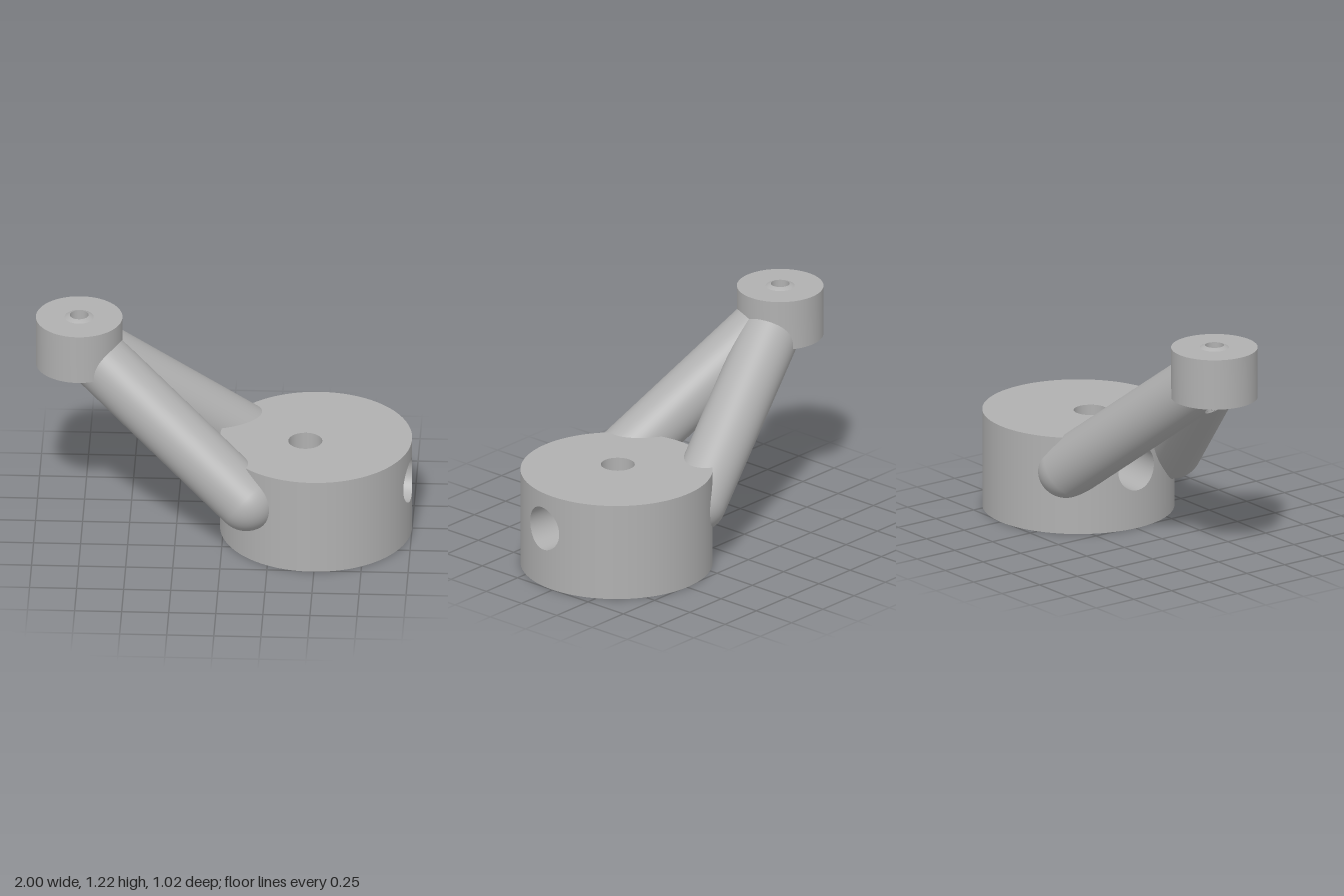
import * as THREE from 'three';
import { toCreasedNormals } from 'three/addons/utils/BufferGeometryUtils.js';
import { ParametricGeometry } from 'three/addons/geometries/ParametricGeometry.js';

const TAU = Math.PI * 2;
const { sin, cos, sqrt, abs, max, atan2, asin, acos, PI } = Math;

// Base drum, with a level cross bore and an upright bore that meet at A
const R = 0.51, H = 0.535, CX = 0.49;
const A = new THREE.Vector3(0.435, 0.33, 0.04);
const CROSS_R = 0.12, UP_R = 0.09, MID = 0.2;
const slant = Math.atan(0.065);
const D = new THREE.Vector3(cos(slant), 0, sin(slant)); // along the cross bore
const N = new THREE.Vector3(-sin(slant), 0, cos(slant)); // level, across it

// Head joint where the two legs meet
const J = new THREE.Vector3(-0.77, 1.07, -0.043);
const HEAD_R = 0.23, LEG_R = 0.16, PIN_R = 0.05;

const surface = (fn, nu, nv) => new ParametricGeometry((u, v, p) => p.copy(fn(u, v)), nu, nv);

// Patch running from a hole outline to a rectangle, bent by map(a, b)
function holedPatch(hole, ca, cb, ha, hb, map) {
  return surface((u, v) => {
    const t = u * TAU, m = max(abs(cos(t)), abs(sin(t)));
    const [a, b] = hole(t);
    const a2 = ca + (cos(t) / m) * ha, b2 = cb + (sin(t) / m) * hb;
    return map(a + (a2 - a) * v, b + (b2 - b) * v);
  }, 96, 12);
}

const onWall = (a, y) => new THREE.Vector3(CX + R * cos(a), y, R * sin(a));

// Distance from A along the cross bore to the drum wall, at sideways offset w
function wallHit(w, sign) {
  const x = A.x + N.x * w - CX, z = A.z + N.z * w;
  const b = x * D.x + z * D.z;
  return -b + sign * sqrt(b * b - (x * x + z * z - R * R));
}

function discWithHole(y, up) {
  const s = up ? -1 : 1;
  const shape = new THREE.Shape().absarc(CX, 0, R, 0, TAU);
  shape.holes.push(new THREE.Path().absarc(A.x, s * A.z, UP_R, 0, TAU, true));
  return new THREE.ShapeGeometry(shape, 96).rotateX((s * PI) / 2).translate(0, y, 0);
}

// Opens a surface around the head bore: snap vertices to its rim, drop the inside
function cutPinBore(geo) {
  const p = geo.attributes.position, inside = [], kept = [];
  for (let i = 0; i < p.count; i++) {
    const x = p.getX(i) - J.x, z = p.getZ(i) - J.z, d = Math.hypot(x, z);
    inside[i] = d < PIN_R;
    if (inside[i] && d > 1e-6) {
      p.setX(i, J.x + (x * PIN_R) / d);
      p.setZ(i, J.z + (z * PIN_R) / d);
    }
  }
  const idx = geo.index.array;
  for (let i = 0; i < idx.length; i += 3) {
    const f = [idx[i], idx[i + 1], idx[i + 2]];
    if (!f.every((k) => inside[k])) kept.push(...f);
  }
  geo.setIndex(kept);
  return geo;
}

export function createModel() {
  const model = new THREE.Group();
  const grey = new THREE.MeshStandardMaterial({ color: 0xb0b0b0 });
  grey.name = 'plain grey';

  const group = (name) => {
    const g = new THREE.Group();
    g.name = name;
    model.add(g);
    return g;
  };
  const add = (parent, name, geo) => {
    const m = new THREE.Mesh(geo, grey);
    m.name = name;
    parent.add(m);
  };

  // Base drum
  const base = group('base');
  add(base, 'baseTop', discWithHole(H, true));
  add(base, 'baseBottom', discWithHole(0, false));
  const span = 0.6;
  for (const sign of [1, -1]) {
    const mid = sign > 0 ? 0 : PI;

    // Wall around each mouth of the cross bore
    const mouth = (t) => {
      const w = sign * CROSS_R * cos(t);
      const p = A.clone().addScaledVector(N, w).addScaledVector(D, wallHit(w, sign));
      return [mid + atan2(sign * p.z, sign * (p.x - CX)), A.y + CROSS_R * sin(t)];
    };
    add(base, 'boreMouthWall', holedPatch(mouth, mid, H / 2, span, H / 2, onWall));

    // Plain wall between the mouths
    add(base, 'sideWall', surface((u, v) => onWall(mid + span + v * (PI - 2 * span), u * H), 1, 40));

    // Outer ends of the cross bore
    add(base, 'crossBoreEnd', surface((u, v) => {
      const f = v * TAU, w = CROSS_R * sin(f), hit = wallHit(w, sign);
      const s = sign > 0 ? MID + (hit - MID) * u : hit + (-MID - hit) * u;
      const p = A.clone().addScaledVector(D, s).addScaledVector(N, w);
      p.y += CROSS_R * cos(f);
      return p;
    }, 4, 64));

    // Middle of the cross bore, opened by the upright bore
    add(base, 'crossBoreMiddle', holedPatch(
      (t) => [UP_R * cos(t), asin((UP_R * sin(t)) / CROSS_R)], 0, 0, MID, PI / 2,
      (s, f) => {
        const p = A.clone().addScaledVector(D, s).addScaledVector(N, -sign * CROSS_R * sin(f));
        p.y += sign * CROSS_R * cos(f);
        return p;
      }));

    // Upright bore above and below the cross bore
    add(base, 'uprightBore', surface((u, v) => {
      const t = u * TAU, w = UP_R * sin(t);
      const edge = A.y + sign * sqrt(CROSS_R ** 2 - w * w);
      const [lo, hi] = sign > 0 ? [edge, H] : [0, edge];
      const p = A.clone().addScaledVector(D, UP_R * cos(t)).addScaledVector(N, w);
      p.y = lo + (hi - lo) * v;
      return p;
    }, 64, 2));
  }

  // Head drum with a narrow bore
  const head = group('head');
  const profile = [[PIN_R, 0.935], [HEAD_R, 0.935], [HEAD_R, 1.21], [PIN_R, 1.21]];
  const drum = new THREE.LatheGeometry(profile.map(([x, y]) => new THREE.Vector2(x, y)), 96);
  add(head, 'headDrum', toCreasedNormals(drum.translate(J.x, 0, J.z), 0.5));

  // Ball joint whose crown rises just above the head
  const a0 = acos(PIN_R / LEG_R), ball = [];
  for (let i = 0; i <= 32; i++) {
    const a = -a0 + (2 * a0 * i) / 32;
    ball.push(new THREE.Vector2(LEG_R * cos(a), LEG_R * sin(a)));
  }
  add(head, 'ballJoint', new THREE.LatheGeometry(ball, 64).translate(J.x, J.y, J.z));

  // Bore wall, ending on the sloping underside of the legs
  add(head, 'headBore', surface((u, v) => {
    const x = PIN_R * cos(u * TAU), lo = 0.868 - 0.78 * x;
    const hi = J.y + sqrt(LEG_R ** 2 - PIN_R ** 2);
    return new THREE.Vector3(J.x + x, lo + (hi - lo) * v, J.z + PIN_R * sin(u * TAU));
  }, 48, 2));

  // Two round legs, each with a ball end sunk into the base
  const feet = { frontLeg: [0.135, 0.335, 0.355], backLeg: [0.19, 0.335, -0.3] };
  for (const [name, foot] of Object.entries(feet)) {
    const leg = group(name);
    const end = new THREE.Vector3(...foot);
    const dir = J.clone().sub(end);
    const turn = new THREE.Quaternion().setFromUnitVectors(
      new THREE.Vector3(0, 1, 0), dir.clone().normalize());
    const centre = end.clone().addScaledVector(dir, 0.5);
    const tube = new THREE.CylinderGeometry(LEG_R, LEG_R, dir.length(), 80, 80, true)
      .applyQuaternion(turn).translate(centre.x, centre.y, centre.z);
    add(leg, 'legTube', cutPinBore(tube));
    add(leg, 'legBallEnd', new THREE.SphereGeometry(LEG_R, 64, 32)
      .applyQuaternion(turn).translate(end.x, end.y, end.z));
  }
  return model;
}
